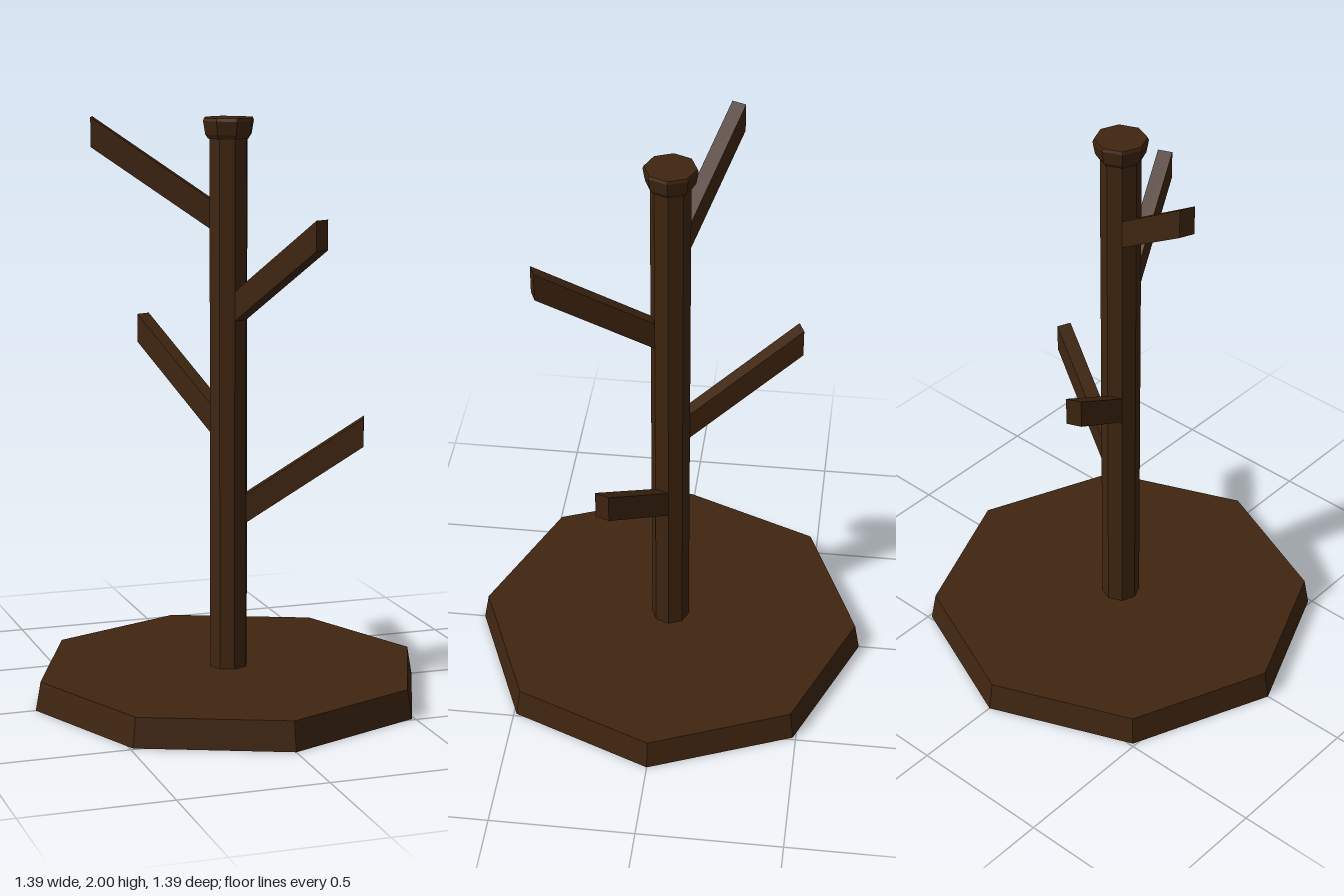
import * as THREE from 'three';

const wood = new THREE.MeshStandardMaterial({ color: 0x3f2510 });
wood.name = 'dark wood';
wood.flatShading = true;

const SIDES = 8;
const POLE_RADIUS = 0.067;
const FACE_DIST = POLE_RADIUS * Math.cos(Math.PI / SIDES);
const FACE_WIDTH = 2 * POLE_RADIUS * Math.sin(Math.PI / SIDES);

function addPart(group, name, geometry) {
  const mesh = new THREE.Mesh(geometry, wood);
  mesh.name = name;
  group.add(mesh);
  return mesh;
}

// Octagonal frustum standing between two heights
function frustum(topRadius, bottomRadius, y0, y1) {
  return new THREE.CylinderGeometry(topRadius, bottomRadius, y1 - y0, SIDES)
    .translate(0, (y0 + y1) / 2, 0);
}

// Sloping peg with vertical ends, reaching outward along +x
function pegGeometry() {
  const root = FACE_DIST - 0.005, tip = 0.463, rise = 0.275, height = 0.1;
  const side = new THREE.Shape([
    new THREE.Vector2(root, 0),
    new THREE.Vector2(tip, rise),
    new THREE.Vector2(tip, rise + height),
    new THREE.Vector2(root, height),
  ]);
  return new THREE.ExtrudeGeometry(side, { depth: FACE_WIDTH, bevelEnabled: false })
    .translate(0, 0, -FACE_WIDTH / 2);
}

export function createModel() {
  const stand = new THREE.Group();
  stand.name = 'coatStand';

  addPart(stand, 'base', frustum(0.675, 0.693, 0, 0.1));
  addPart(stand, 'pole', frustum(POLE_RADIUS, POLE_RADIUS, 0.1, 1.94));

  // Flared cap with a chamfered underside
  const capProfile = [[0, 1.93], [0.072, 1.93], [0.082, 1.945], [0.09, 1.99], [0.086, 2], [0, 2]]
    .map(([r, y]) => new THREE.Vector2(r, y));
  addPart(stand, 'cap', new THREE.LatheGeometry(capProfile, SIDES));

  // Pegs, each on one face of the pole: [heading from +x towards +z in degrees, root height]
  const peg = pegGeometry();
  [[22.5, 0.61], [247.5, 0.912], [67.5, 1.316], [202.5, 1.625]].forEach(([angle, y], i) => {
    const mesh = addPart(stand, `peg${i + 1}`, peg);
    mesh.position.y = y;
    mesh.rotation.y = -THREE.MathUtils.degToRad(angle);
  });

  return stand;
}
